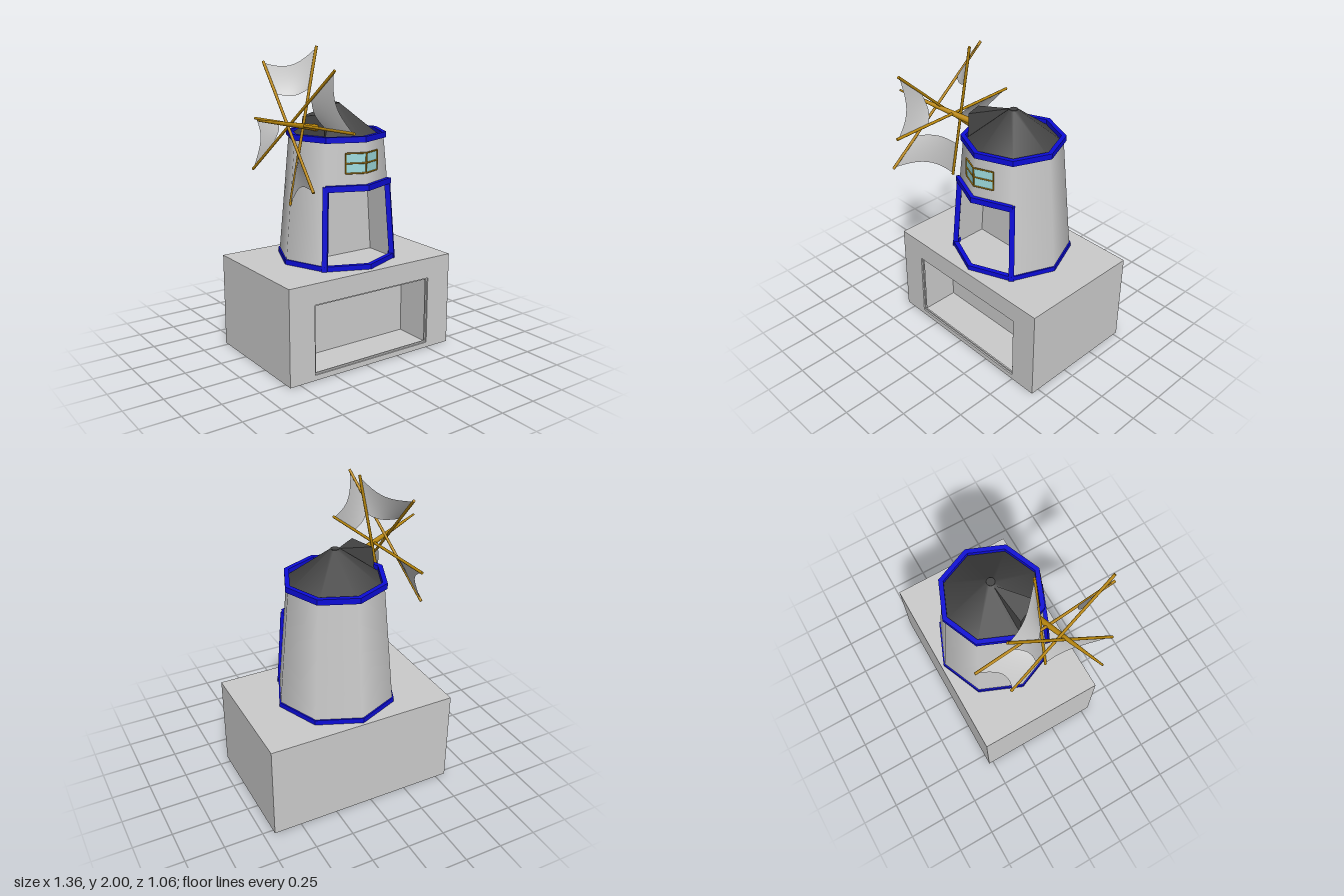
import * as THREE from 'three';
import { ConvexGeometry } from 'three/addons/geometries/ConvexGeometry.js';

const V = (x, y, z) => new THREE.Vector3(x, y, z);
const mat = (color, opts = {}) => new THREE.MeshStandardMaterial({ color, ...opts });
const double = { side: THREE.DoubleSide };
const grey = mat(0xcccccc);
const greyOpen = mat(0xcccccc, double);
const blue = mat(0x0c0cd8, { flatShading: true });
const wood = mat(0xb8860b);
const roofMat = mat(0x444444);
const glass = mat(0x9fdde0, double);

// Tower radius at a given height (octagon corner radius)
const radius = y => 0.385 - (y - 0.625) * 0.093;
const CORNER = Math.PI / 4;

function add(parent, name, geometry, material) {
  const mesh = new THREE.Mesh(geometry, material);
  mesh.name = name;
  parent.add(mesh);
  return mesh;
}

// Octagonal surface of revolution, corners on the axes
function octagon(points, start = 0, segments = 8) {
  return new THREE.LatheGeometry(points.map(p => new THREE.Vector2(...p)),
    segments, start * CORNER, segments * CORNER);
}

const ring = (outer, inner, y0, y1, start, segments) => octagon(
  [[outer, y0], [outer, y1], [inner, y1], [inner, y0], [outer, y0]], start, segments);

// Tapered round bar from a to b
function bar(parent, name, a, b, r0, r1 = r0) {
  const dir = b.clone().sub(a);
  const mesh = add(parent, name, new THREE.CylinderGeometry(r1, r0, dir.length(), 10), wood);
  mesh.position.copy(a).add(b).multiplyScalar(0.5);
  mesh.quaternion.setFromUnitVectors(V(0, 1, 0), dir.normalize());
}

// Grid surface from a function of u and v
function sheet(fn, n = 1) {
  const g = new THREE.PlaneGeometry(1, 1, n, n);
  const p = g.attributes.position;
  for (let i = 0; i < p.count; i++) {
    const q = fn(p.getX(i) + 0.5, p.getY(i) + 0.5);
    p.setXYZ(i, q.x, q.y, q.z);
  }
  g.computeVertexNormals();
  return g;
}
const quad = (a, b, c, d) => sheet((u, v) => a.clone().lerp(b, u).lerp(d.clone().lerp(c, u), v));

function rectangle(x0, y0, x1, y1, Type = THREE.Shape) {
  return new Type([[x0, y0], [x1, y0], [x1, y1], [x0, y1]].map(p => new THREE.Vector2(...p)));
}
function frame(outer, inner, depth, z) {
  const s = rectangle(...outer);
  s.holes.push(rectangle(...inner, THREE.Path));
  return new THREE.ExtrudeGeometry(s, { depth, bevelEnabled: false }).translate(0, 0, z);
}

function buildBase(root) {
  const base = new THREE.Group();
  base.name = 'base';
  root.add(base);
  const hole = [-0.39, 0.035, 0.5, 0.49];
  add(base, 'baseFront', frame([-0.57, 0, 0.68, 0.625], hole, 0.275, 0.03), grey);
  add(base, 'baseBack', new THREE.BoxGeometry(1.25, 0.625, 0.56).translate(0.055, 0.3125, -0.25), grey);
  add(base, 'recessLip', frame(hole, [-0.38, 0.045, 0.49, 0.48], 0.01, 0.285), grey);
}

function buildTower(root) {
  const tower = new THREE.Group();
  tower.name = 'tower';
  tower.position.set(0.055, 0, -0.12);
  root.add(tower);

  // Walls: two front sides stay open below the lintel
  add(tower, 'lowerWall', octagon([[radius(0.625), 0.625], [radius(1.13), 1.13]], 1, 6), greyOpen);
  add(tower, 'upperWall', octagon([[radius(1.13), 1.13], [radius(1.44), 1.44]]), greyOpen);

  // Blue trim
  add(tower, 'bottomTrim', ring(0.392, 0.36, 0.625, 0.657), blue);
  add(tower, 'topTrim', ring(0.327, 0.296, 1.42, 1.457), blue);
  add(tower, 'lintel', ring(0.362, 0.33, 1.122, 1.16, -1, 2), blue);
  for (const side of [-1, 1]) {
    const post = add(tower, 'doorPost', new THREE.BoxGeometry(0.034, 0.53, 0.034), blue);
    post.rotation.set(-0.075, side * CORNER, 0, 'YXZ');
    post.position.set(side * 0.252, 0.888, 0.252);
  }

  // Niche behind the doorway
  const corner = (s, y, z) => V(s * radius(y) * Math.SQRT1_2, y, z ?? radius(y) * Math.SQRT1_2);
  const back = 0.02, low = 0.627, high = 1.13;
  for (const s of [-1, 1]) {
    add(tower, 'nicheSide', quad(corner(s, low), corner(s, low, back),
      corner(s, high, back), corner(s, high)), greyOpen);
  }
  add(tower, 'nicheBack', quad(corner(-1, low, back), corner(1, low, back),
    corner(1, high, back), corner(-1, high, back)), greyOpen);
  add(tower, 'nicheCeiling', quad(corner(-1, high, back), corner(1, high, back),
    corner(1, high), corner(-1, high)), greyOpen);
  const front = V(0, high, radius(high));
  add(tower, 'nicheCeilingFront', quad(corner(-1, high), corner(1, high), front, front), greyOpen);

  // Window folded around the front corner
  const at = (x, y) => V(x, y, radius(1.24) + 0.006 - Math.abs(x) * Math.tan(Math.PI / 8));
  const [y0, y1, w] = [1.232, 1.357, 0.12];
  for (const s of [-1, 1]) {
    add(tower, 'windowPane', quad(at(0, y0), at(s * w, y0), at(s * w, y1), at(0, y1)), glass);
    for (const y of [y0, (y0 + y1) / 2, y1]) bar(tower, 'windowBar', at(0, y), at(s * w, y), 0.005);
    bar(tower, 'windowJamb', at(s * w, y0), at(s * w, y1), 0.005);
  }
  bar(tower, 'windowMullion', at(0, y0), at(0, y1), 0.005);

  // Roof
  add(tower, 'roof', octagon([[0.3, 1.422], [0.026, 1.633]]), roofMat);
  add(tower, 'roofCap', new THREE.CylinderGeometry(0.026, 0.026, 0.008, 16).translate(0, 1.632, 0), roofMat);
}

function buildSails(root) {
  const wheel = new THREE.Group();
  wheel.name = 'sailWheel';
  root.add(wheel);

  // Dormer and shaft
  add(wheel, 'dormer', new ConvexGeometry([
    V(-0.155, 1.588, 0.06), V(-0.22, 1.572, -0.08), V(-0.155, 1.43, 0.065), V(-0.235, 1.43, -0.09),
    V(0.035, 1.63, -0.12), V(0.03, 1.43, -0.12)]), mat(0x444444, { flatShading: true }));
  bar(wheel, 'shaft', V(-0.17, 1.505, 0.007), V(-0.675, 1.608, 0.178), 0.021, 0.006);

  // Four crossing poles, listed end to end
  const poles = [
    [V(-0.18, 2.0, 0.02), V(-0.375, 1.045, 0.012)],
    [V(-0.387, 1.9, -0.26), V(-0.47, 1.21, 0.422)],
    [V(-0.333, 1.885, 0.435), V(-0.464, 1.235, -0.283)],
    [V(-0.264, 1.54, 0.525), V(-0.347, 1.528, -0.45)],
  ];
  for (const [a, b] of poles) bar(wheel, 'pole', a, b, 0.009);

  // Cloth between neighbouring pole ends, hollowed toward the hub
  for (const [p, q] of [[0, 1], [2, 3]]) for (const end of [0, 1]) {
    const along = (pole, t) => pole[end].clone().lerp(pole[1 - end], t);
    add(wheel, 'sail', sheet((u, v) => {
      const t = 0.01 + 0.25 * v;
      const sag = 4 * u * (1 - u) * (0.07 - 0.035 * v);
      return along(poles[p], t + sag).lerp(along(poles[q], t + sag), u);
    }, 10), greyOpen);
  }
}

export function createModel() {
  const root = new THREE.Group();
  root.name = 'windmill';
  buildBase(root);
  buildTower(root);
  buildSails(root);
  return root;
}
